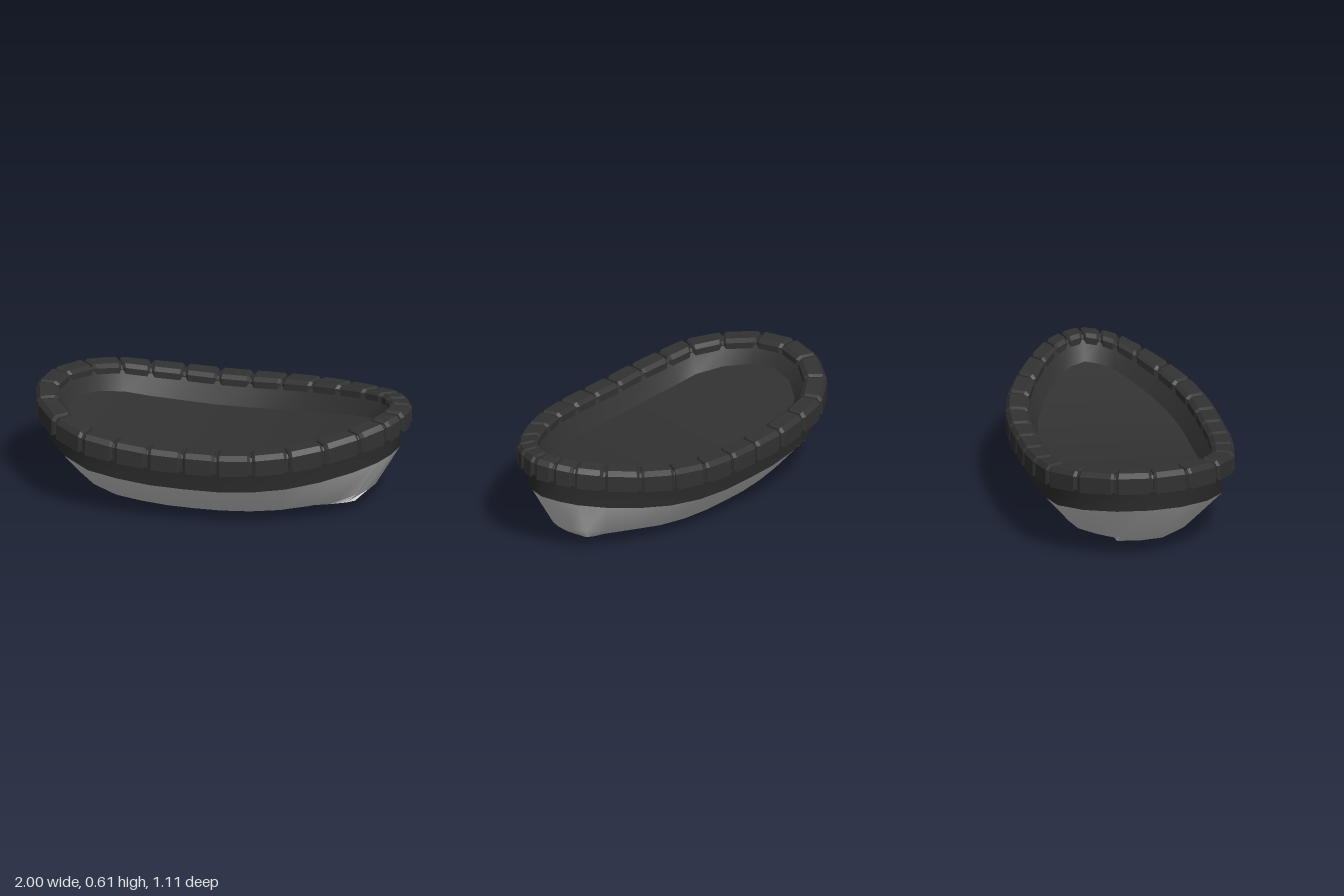
import * as THREE from 'three';
import { toCreasedNormals } from 'three/addons/utils/BufferGeometryUtils.js';

const V = (x, y, z) => new THREE.Vector3(x, y, z);

// Plan outline of one side, stern to bow; mirrored to close the loop.
const HALF = [[-1.003, 0], [-0.96, 0.2], [-0.835, 0.38], [-0.665, 0.5], [-0.49, 0.535], [-0.305, 0.555],
  [-0.12, 0.556], [0.06, 0.556], [0.25, 0.54], [0.44, 0.495], [0.62, 0.415], [0.79, 0.308],
  [0.912, 0.203], [0.972, 0.108], [1.005, 0]];
const OUT = [...HALF, ...HALF.slice(1, -1).reverse().map(([x, z]) => [x, -z])];
const N = OUT.length;

// Sheer curve: height at the middle plus a rise towards stern and bow.
const sheer = (x, mid, stern, bow) => mid + (x < 0 ? stern : bow) * x * x;
const rimY = (x) => sheer(x, 0.367, 0.093, 0.131);

// Point i of the outline moved inwards by d: scaled at the narrow bow, along the normal elsewhere.
function inset(i, d, y) {
  const [x, z] = OUT[i];
  if (x > 0) return V(x * (1 - d), y, z * (1 - d / 0.556));
  const a = OUT[(i + N - 1) % N], b = OUT[(i + 1) % N];
  const n1 = new THREE.Vector2(a[1] - z, x - a[0]).normalize();
  const n2 = new THREE.Vector2(z - b[1], b[0] - x).normalize();
  const n = n1.add(n2).normalize().multiplyScalar(d);
  return V(x - n.x, y, z - n.y);
}
const insetRing = (d, yOf) => OUT.map(([x], i) => inset(i, d, yOf(x)));
const hullRing = (stern, bow, zOf, yOf) =>
  OUT.map(([x, z]) => V(x * (x < 0 ? stern : bow), yOf(x), zOf(z)));

// Surface through closed rings; cap fills the last (up) or first (down) ring across the beam.
function loft(rings, cap) {
  const n = rings[0].length, idx = [];
  for (let r = 0; r < rings.length - 1; r++)
    for (let i = 0; i < n; i++) {
      const j = (i + 1) % n, a = r * n, b = a + n;
      idx.push(a + i, a + j, b + j, a + i, b + j, b + i);
    }
  if (cap) {
    const o = cap === 'up' ? (rings.length - 1) * n : 0;
    for (let i = 0; i < n / 2; i++) {
      const [p, q, s, t] = [i, i + 1, n - i - 1, (n - i) % n].map((k) => k + o);
      const tris = [[p, q, s], [p, s, t]].filter((f) => new Set(f).size === 3);
      for (const f of tris) idx.push(...(cap === 'down' ? f.reverse() : f));
    }
  }
  const g = new THREE.BufferGeometry();
  g.setAttribute('position', new THREE.Float32BufferAttribute(rings.flat().flatMap((p) => [p.x, p.y, p.z]), 3));
  g.setIndex(idx);
  return g;
}

// One bevelled fender block between outline points i and i + 1.
function bumperGeometry(i) {
  const profile = [[0, 0], [0, 0.088], [0.02, 0.113], [0.1, 0.113], [0.122, 0.095], [0.122, 0]];
  const j = (i + 1) % N;
  const section = (k) => profile.map(([d, y]) => inset(k, d, rimY(OUT[k][0]) + y));
  const A = section(i), B = section(j);
  const len = A[0].distanceTo(B[0]);
  const loops = [[0.006, 0.8], [0.022, 1], [len - 0.022, 1], [len - 0.006, 0.8]].map(([s, k]) => {
    const pts = A.map((p, m) => p.clone().lerp(B[m], s / len));
    const c = pts.reduce((sum, p) => sum.add(p), V(0, 0, 0)).divideScalar(pts.length);
    return pts.map((p) => c.clone().lerp(p, k));
  });
  const g = loft(loops);
  const idx = [...g.index.array];
  // Close both ends and turn every face outwards.
  for (let m = 1; m < 5; m++) idx.push(0, m + 1, m, 18, 18 + m, 18 + m + 1);
  const P = loops.flat();
  const mid = P.reduce((s, p) => s.add(p), V(0, 0, 0)).divideScalar(P.length);
  const normal = P[idx[1]].clone().sub(P[idx[0]]).cross(P[idx[2]].clone().sub(P[idx[0]]));
  g.setIndex(normal.dot(P[idx[0]].clone().sub(mid)) < 0 ? idx.reverse() : idx);
  const flat = g.toNonIndexed();
  flat.computeVertexNormals();
  return flat;
}

export function createModel() {
  const hullGrey = new THREE.MeshStandardMaterial({ name: 'hull light grey', color: 0xd0d0d0 });
  const bandBlack = new THREE.MeshStandardMaterial({ name: 'band black', color: 0x2d2d2d, side: THREE.DoubleSide });
  const rubber = new THREE.MeshStandardMaterial({ name: 'rubber charcoal', color: 0x323232, side: THREE.DoubleSide });

  const boat = new THREE.Group();
  boat.name = 'boat';
  const add = (name, geometry, material, parent = boat) => {
    const mesh = new THREE.Mesh(geometry, material);
    mesh.name = name;
    parent.add(mesh);
  };

  // Lower hull: long flat bottom strip with square ends, chine, waterline.
  const stripZ = (z) => Math.sign(z) * Math.min(0.12, Math.abs(z));
  const waterline = insetRing(0.067, (x) => sheer(x, 0.247, 0.093, 0.118));
  add('lowerHull', toCreasedNormals(loft([
    hullRing(0.665, 0.74, stripZ, (x) => sheer(x, 0.003, 0.062, 0.085)),
    hullRing(0.775, 0.805, (z) => z * 0.61, (x) => sheer(x, 0.072, 0.058, 0.068)),
    waterline,
  ], 'down'), 1.05), hullGrey);

  // Dark band between waterline and fender.
  add('upperBand', toCreasedNormals(loft([
    waterline,
    insetRing(0.06, (x) => rimY(x) - 0.05),
    insetRing(0.05, (x) => rimY(x) + 0.005),
  ]), 0.68), bandBlack);

  // Continuous rail seen in the gaps between the fender blocks.
  const rail = [[0.112, 0.004], [0.018, 0.004], [0.018, 0.078], [0.032, 0.096], [0.095, 0.096], [0.112, 0.083], [0.112, 0.004]];
  add('rail', toCreasedNormals(loft(rail.map(([d, y]) => insetRing(d, (x) => rimY(x) + y))), 0.5), rubber);

  // Inner wall and deck.
  const deckEdge = insetRing(0.172, (x) => sheer(x, 0.335, 0.12, 0.14));
  add('innerWall', toCreasedNormals(loft([insetRing(0.11, (x) => rimY(x) + 0.08), deckEdge]), 0.68), rubber);
  add('deck', toCreasedNormals(loft([deckEdge], 'up'), 0.68), rubber);

  // Fender blocks all the way round.
  const fender = new THREE.Group();
  fender.name = 'fender';
  boat.add(fender);
  for (let i = 0; i < N; i++) add('fenderBlock', bumperGeometry(i), rubber, fender);

  return boat;
}
